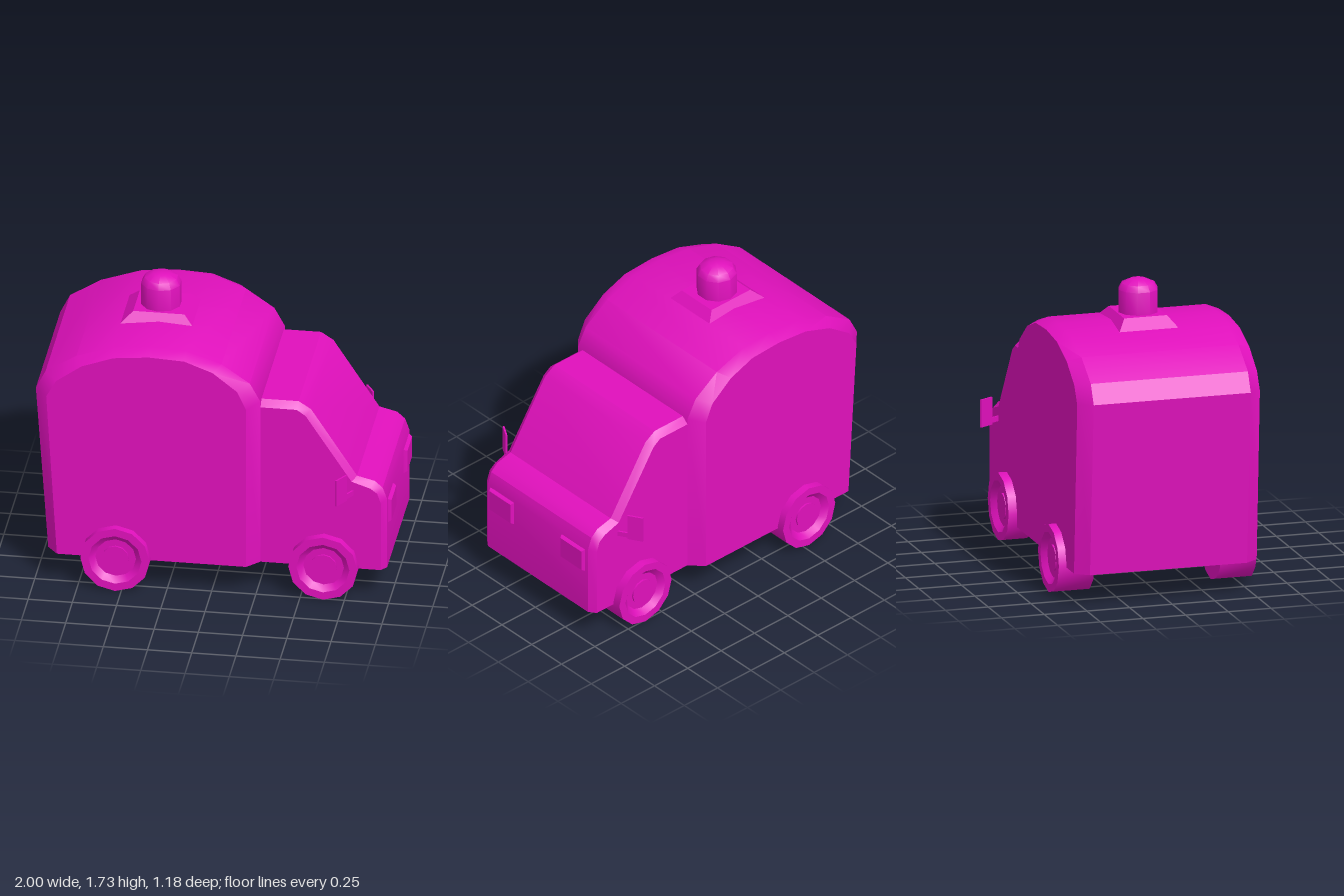
import * as THREE from 'three';
import { toCreasedNormals } from 'three/addons/utils/BufferGeometryUtils.js';

const paint = new THREE.MeshStandardMaterial({ color: 0xe010bc });

// Closed solid through matching counter-clockwise outlines, ordered by rising z
function loft(sections, crease = 0.5) {
  const pos = [];
  const put = (s, i) => pos.push(s.pts[i][0], s.pts[i][1], s.z);
  const n = sections[0].pts.length;
  for (let k = 0; k < sections.length - 1; k++) {
    const a = sections[k], b = sections[k + 1];
    for (let i = 0; i < n; i++) {
      const j = (i + 1) % n;
      put(a, i); put(a, j); put(b, j);
      put(a, i); put(b, j); put(b, i);
    }
  }
  const cap = (s, flip) => {
    const outline = s.pts.map(([x, y]) => new THREE.Vector2(x, y));
    for (const [i, j, k] of THREE.ShapeUtils.triangulateShape(outline, [])) {
      put(s, i); put(s, flip ? k : j); put(s, flip ? j : k);
    }
  };
  cap(sections[0], true);
  cap(sections[sections.length - 1], false);
  const g = new THREE.BufferGeometry();
  g.setAttribute('position', new THREE.Float32BufferAttribute(pos, 3));
  return toCreasedNormals(g, crease);
}

const rect = (x0, x1, y0, y1) => [[x0, y0], [x1, y0], [x1, y1], [x0, y1]];

// Side profile with chamfered edges on both flanks
function chamfered(outer, inner, zOuter, zInner) {
  outer = outer.slice().reverse();
  inner = inner.slice().reverse();
  return loft([
    { pts: inner, z: -zInner }, { pts: outer, z: -zOuter },
    { pts: outer, z: zOuter }, { pts: inner, z: zInner },
  ]);
}

function lathe(points, sides) {
  const g = new THREE.LatheGeometry(points.map(([r, y]) => new THREE.Vector2(r, y)), sides);
  return toCreasedNormals(g, 0.7);
}

export function createModel() {
  const model = new THREE.Group();
  const add = (name, geometry, x = 0, y = 0, z = 0) => {
    const mesh = new THREE.Mesh(geometry, paint);
    mesh.name = name;
    mesh.position.set(x, y, z);
    model.add(mesh);
    return mesh;
  };

  // Rear compartment with arched roof
  add('rearBody', chamfered(
    [[-0.93, 0.19], [-1, 1.19], [-0.945, 1.3], [-0.77, 1.41], [-0.56, 1.48], [-0.35, 1.5],
      [-0.15, 1.49], [0.05, 1.42], [0.21, 1.31], [0.27, 1.2], [0.27, 0.19]],
    [[-0.87, 0.19], [-0.93, 1.18], [-0.875, 1.28], [-0.73, 1.385], [-0.55, 1.45], [-0.35, 1.47],
      [-0.15, 1.46], [0.01, 1.4], [0.15, 1.29], [0.2, 1.18], [0.2, 0.19]],
    0.46, 0.535));

  // Cab with sloping windscreen and short bonnet
  add('cab', chamfered(
    [[0.22, 0.19], [0.22, 1.2], [0.48, 1.2], [0.55, 1.155], [0.81, 0.755], [0.91, 0.73],
      [0.955, 0.69], [0.98, 0.62], [0.98, 0.19]],
    [[0.22, 0.19], [0.22, 1.165], [0.475, 1.165], [0.525, 1.13], [0.785, 0.735], [0.89, 0.7],
      [0.93, 0.67], [0.95, 0.61], [0.95, 0.19]],
    0.42, 0.46));

  // Beacon on its roof plinth
  add('beaconBase', loft([
    { pts: rect(-0.565, -0.15, -0.172, 0.172), z: 1.48 },
    { pts: rect(-0.5, -0.21, -0.125, 0.125), z: 1.54 },
  ]).rotateX(-Math.PI / 2));
  add('beacon', lathe(
    [[0, 1.52], [0.115, 1.52], [0.115, 1.67], [0.095, 1.705], [0.045, 1.728], [0, 1.732]], 10), -0.36);

  for (const side of [1, -1]) {
    const label = side > 0 ? 'Left' : 'Right';

    // Twelve-sided wheels with recessed rim and hub
    for (const [name, x, face] of [['rear', -0.535, 0.58], ['front', 0.63, 0.51]]) {
      const wheel = lathe([
        [0, 0.37], [0.196, 0.37], [0.196, face], [0.15, face], [0.115, face - 0.03],
        [0.075, face - 0.03], [0.075, face - 0.02], [0, face - 0.02],
      ], 12);
      add(`${name}Wheel${label}`, wheel.rotateX(side * Math.PI / 2), x, 0.2);
    }

    // Headlights with bevelled lens
    add(`headlight${label}`, loft([
      { pts: rect(-0.098, 0.098, -0.073, 0.073), z: 0.96 },
      { pts: rect(-0.098, 0.098, -0.073, 0.073), z: 0.982 },
      { pts: rect(-0.088, 0.088, -0.063, 0.063), z: 1 },
    ], 0.9).rotateY(Math.PI / 2), 0, 0.535, side * 0.298);

    // Angled wing mirrors on short arms
    const outline = [[-0.02, 0.65], [0.055, 0.65], [0.055, 0.64], [0.146, 0.64],
      [0.146, 0.8], [0.055, 0.8], [0.055, 0.68], [-0.02, 0.68]];
    add(`wingMirror${label}`, loft([
      { pts: outline, z: -0.005 }, { pts: outline, z: 0.005 },
    ]).rotateY(-side * 2.111), 0.79, 0, side * 0.46);
  }
  return model;
}
